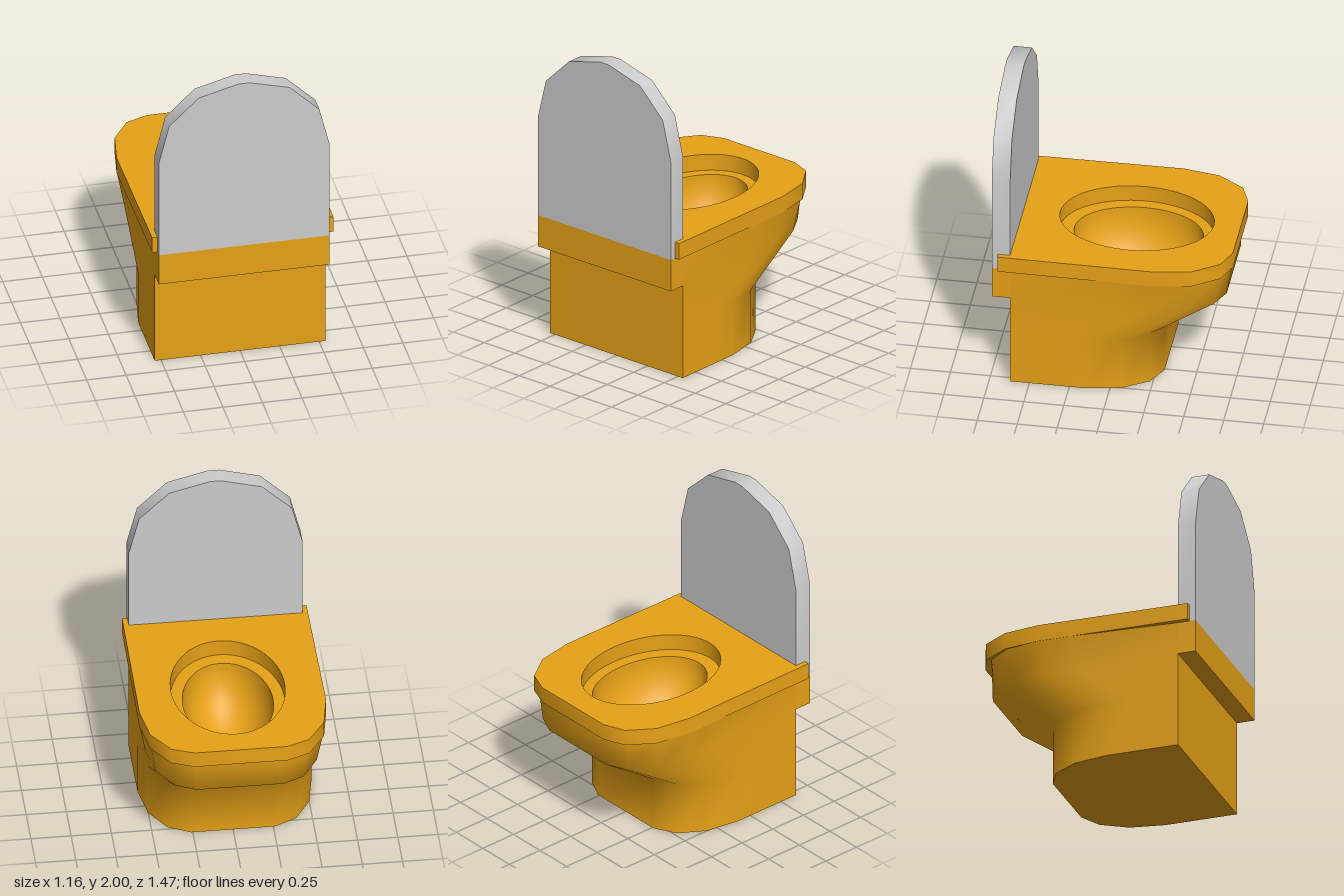
import * as THREE from 'three';
import { toCreasedNormals } from 'three/addons/utils/BufferGeometryUtils.js';

const HOLE_X = 0.008;

// mirrors a half outline (listed from back to front, x > 0) into a closed loop
const mirrorLoop = (half) => [...half, ...half.map(([x, z]) => [-x, z]).reverse()];

// flat shape on the ground plane: shape y is -z
const planShape = (half) =>
  new THREE.Shape(mirrorLoop(half).map(([x, z]) => new THREE.Vector2(x, -z)));

const ellipseHole = (z, rx, rz) =>
  new THREE.Path().absellipse(HOLE_X, -z, rx, rz, 0, Math.PI * 2, true);

// side walls through a stack of outlines with equal point counts
function loft(levels) {
  const positions = [];
  const index = [];
  const n = levels[0].half.length * 2;
  levels.forEach(({ y, half }) => {
    mirrorLoop(half).forEach(([x, z]) => positions.push(x, y, z));
  });
  for (let r = 0; r < levels.length - 1; r++) {
    for (let i = 0; i < n; i++) {
      const a = r * n + i;
      const b = r * n + ((i + 1) % n);
      index.push(a, b, b + n, a, b + n, a + n);
    }
  }
  const geometry = new THREE.BufferGeometry();
  geometry.setAttribute('position', new THREE.Float32BufferAttribute(positions, 3));
  geometry.setIndex(index);
  return toCreasedNormals(geometry, 1.1);
}

export function createModel() {
  const group = new THREE.Group();
  const ceramic = new THREE.MeshStandardMaterial({ color: 0xe6a117 });
  const grey = new THREE.MeshStandardMaterial({ color: 0xcccccc });

  const add = (name, geometry, material, parent = group) => {
    const mesh = new THREE.Mesh(geometry, material);
    mesh.name = name;
    parent.add(mesh);
    return mesh;
  };

  // Pedestal: straight foot, forward slope, then an upright rim
  const foot = [[0.54, 0.62], [0.54, 0.3], [0.54, 0.15], [0.5, -0.07], [0.4, -0.23], [0.26, -0.3]];
  const waist = [[0.54, 0.62], [0.54, -0.05], [0.54, -0.25], [0.5, -0.47], [0.4, -0.63], [0.27, -0.69]];
  const rim = [[0.54, 0.62], [0.578, -0.07], [0.578, -0.28], [0.535, -0.5], [0.42, -0.645], [0.28, -0.69]];
  const pedestal = new THREE.Group();
  pedestal.name = 'pedestal';
  group.add(pedestal);
  add('pedestalWalls', loft([
    { y: 0, half: foot },
    { y: 0.355, half: foot },
    { y: 0.62, half: waist },
    { y: 0.83, half: rim },
  ]), ceramic, pedestal);

  const under = new THREE.ShapeGeometry(planShape(foot.map(([x, z]) => [x, -z])));
  under.rotateX(Math.PI / 2);
  add('pedestalUnderside', under, ceramic, pedestal);

  const topShape = planShape(rim);
  topShape.holes.push(ellipseHole(-0.097, 0.28, 0.402));
  const top = new THREE.ShapeGeometry(topShape, 32);
  top.rotateX(-Math.PI / 2);
  top.translate(0, 0.83, 0);
  add('bowlRim', top, ceramic, pedestal);

  // Ledge that carries the lid
  const ledge = new THREE.BoxGeometry(1.08, 0.21, 0.115);
  ledge.translate(0, 0.725, 0.6775);
  add('lidLedge', ledge, ceramic, pedestal);

  // Hollow bowl with a small flat drain, profile runs from rim to centre
  const profile = [];
  const end = Math.acos(0.2);
  for (let i = 0; i <= 14; i++) {
    const t = (end * i) / 14;
    profile.push(new THREE.Vector2(Math.cos(t), 0.83 - 0.38 * Math.sin(t)));
  }
  const bowl = new THREE.LatheGeometry(profile, 64);
  bowl.scale(0.28, 1, 0.402);
  bowl.translate(HOLE_X, 0, -0.097);
  add('bowl', bowl, ceramic);

  const drain = new THREE.CircleGeometry(1, 64);
  drain.rotateX(-Math.PI / 2);
  drain.scale(0.056, 1, 0.0804);
  drain.translate(HOLE_X, profile[14].y, -0.097);
  add('drain', drain, ceramic);

  // Seat with an oval opening
  const seatShape = planShape([
    [0.573, 0.695], [0.58, -0.28], [0.54, -0.513], [0.428, -0.677], [0.288, -0.732],
  ]);
  seatShape.holes.push(ellipseHole(-0.086, 0.353, 0.48));
  const seat = new THREE.ExtrudeGeometry(seatShape, {
    depth: 0.107, bevelEnabled: false, curveSegments: 32,
  });
  seat.rotateX(-Math.PI / 2);
  seat.translate(0, 0.83, 0);
  add('seat', toCreasedNormals(seat, 0.8), ceramic);

  // Raised lid
  const lidShape = new THREE.Shape(mirrorLoop([
    [0.54, 0.83], [0.54, 1.49], [0.475, 1.75], [0.288, 1.932], [0.035, 2],
  ]).map(([x, y]) => new THREE.Vector2(x, y)));
  const lid = new THREE.ExtrudeGeometry(lidShape, { depth: 0.115, bevelEnabled: false });
  lid.translate(0, 0, 0.62);
  add('lid', toCreasedNormals(lid, 0.8), grey);

  return group;
}
